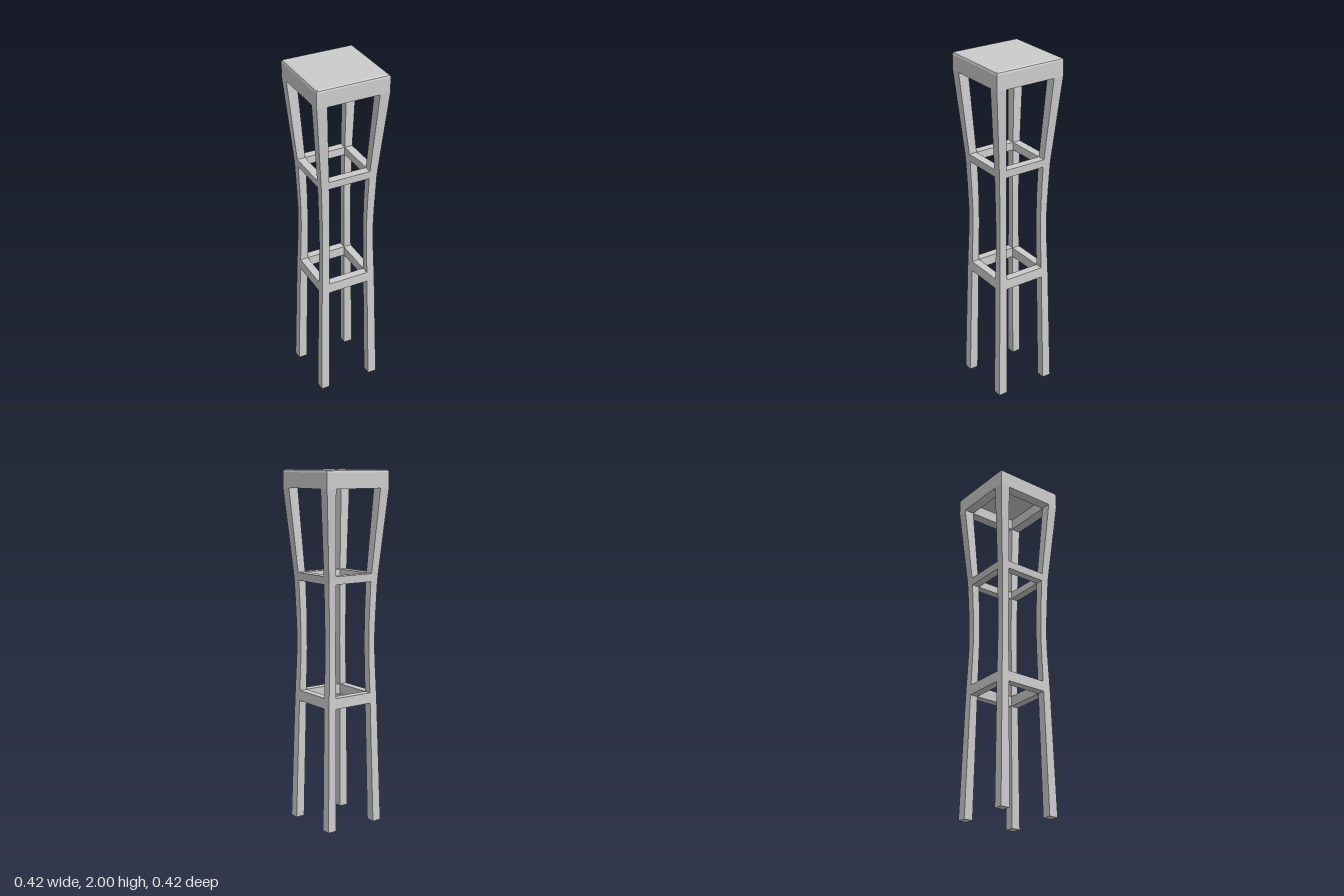
import * as THREE from 'three';
import { toCreasedNormals } from 'three/addons/utils/BufferGeometryUtils.js';

const material = new THREE.MeshStandardMaterial({ color: 0xcccccc });

// Leg outline: [height, outer half-width, inner half-width], waisted in the middle
const LEG = [
  [0, 0.185, 0.132], [0.7, 0.167, 0.12], [0.76, 0.165, 0.119], [0.9, 0.16, 0.117],
  [1.0, 0.157, 0.115], [1.1, 0.157, 0.115], [1.22, 0.16, 0.116], [1.39, 0.166, 0.12],
  [1.435, 0.169, 0.122], [1.9, 0.208, 0.149],
];

// Solid skinned through rectangular sections { y, x0, x1, z0, z1 }, bottom to top
function loft(sections) {
  const pos = [], index = [];
  for (const { y, x0, x1, z0, z1 } of sections) {
    pos.push(x0, y, z1, x1, y, z1, x1, y, z0, x0, y, z0);
  }
  const top = (sections.length - 1) * 4;
  for (let s = 0; s < top; s += 4) {
    for (let i = 0; i < 4; i++) {
      const a = s + i, b = s + (i + 1) % 4;
      index.push(a, b, b + 4, a, b + 4, a + 4);
    }
  }
  index.push(0, 2, 1, 0, 3, 2, top, top + 1, top + 2, top, top + 2, top + 3);
  const g = new THREE.BufferGeometry();
  g.setAttribute('position', new THREE.Float32BufferAttribute(pos, 3));
  g.setIndex(index);
  return toCreasedNormals(g, 0.3);
}

// Four copies of a part, turned about the vertical axis
function fourAround(name, geometry) {
  const group = new THREE.Group();
  group.name = name + 's';
  for (let i = 0; i < 4; i++) {
    const mesh = new THREE.Mesh(geometry, material);
    mesh.name = name;
    mesh.rotation.y = i * Math.PI / 2;
    group.add(mesh);
  }
  return group;
}

// Rail filling the gap between two legs, flush with their faces
function rail(levels) {
  return loft(levels.map(([y, o, i]) => ({ y, x0: -i, x1: i, z0: i, z1: o })));
}

export function createModel() {
  const model = new THREE.Group();
  model.name = 'stool';

  // Legs
  model.add(fourAround('leg', loft(LEG.map(([y, o, i]) => ({ y, x0: i, x1: o, z0: i, z1: o })))));

  // Two tiers of rails
  model.add(fourAround('lowerRail', rail(LEG.slice(1, 3))));
  model.add(fourAround('upperRail', rail(LEG.slice(7, 9))));

  // Seat: square turned profile with an apron, hollow underside and eased top edge
  const profile = [
    [0, 1.965], [0.149, 1.965], [0.149, 1.9], [0.208, 1.9],
    [0.208, 1.985], [0.205, 1.995], [0.197, 2], [0, 2],
  ].map(([r, y]) => new THREE.Vector2(r * Math.SQRT2, y));
  const seatGeometry = new THREE.LatheGeometry(profile, 4, Math.PI / 4).toNonIndexed();
  seatGeometry.computeVertexNormals();
  const seat = new THREE.Mesh(seatGeometry, material);
  seat.name = 'seat';
  model.add(seat);

  return model;
}
